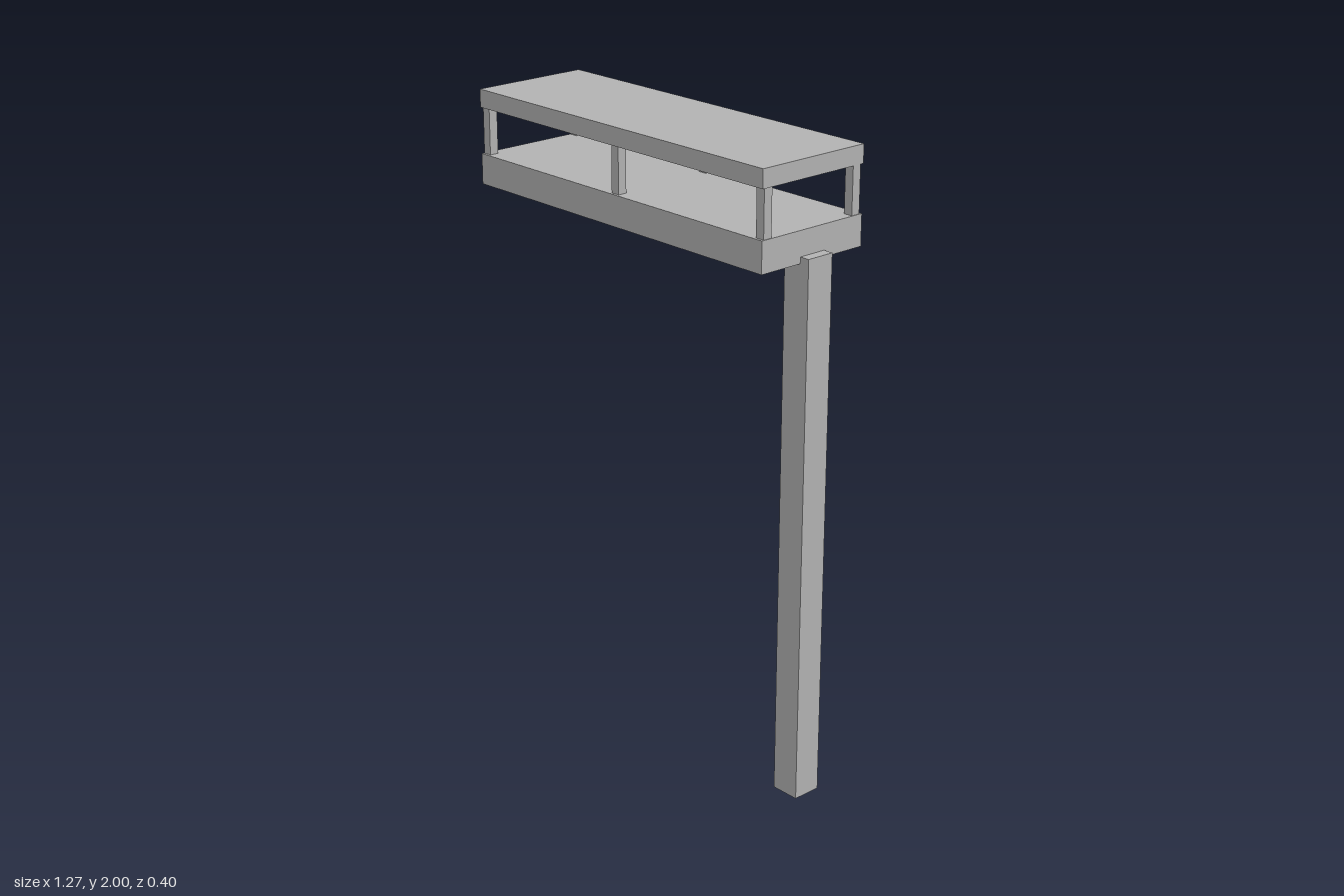
import * as THREE from 'three';

export function createModel() {
  const model = new THREE.Group();
  const grey = new THREE.MeshStandardMaterial({ color: 0xb2b2b2 });
  grey.name = 'grey';

  // box given by its centre in x and z, and its bottom and top in y
  function addBox(name, width, depth, bottom, top, x, z = 0) {
    const mesh = new THREE.Mesh(new THREE.BoxGeometry(width, top - bottom, depth), grey);
    mesh.name = name;
    mesh.position.set(x, (bottom + top) / 2, z);
    model.add(mesh);
  }

  const deckX = -0.017;
  const deckTop = 1.797;
  const roofBottom = 1.943;

  // pole rising just into the end of the deck
  addBox('pole', 0.094, 0.094, 0, 1.72, 0.589);

  // solid deck and flat roof
  addBox('deck', 1.241, 0.395, 1.7, deckTop, deckX);
  addBox('roof', 1.241, 0.395, roofBottom, 2, deckX);

  // three pairs of posts holding the roof
  for (const x of [-0.603, 0, 0.603]) {
    for (const side of [1, -1]) {
      addBox('post', 0.03, 0.03, deckTop, roofBottom, deckX + x, side * 0.174);
    }
  }
  return model;
}
